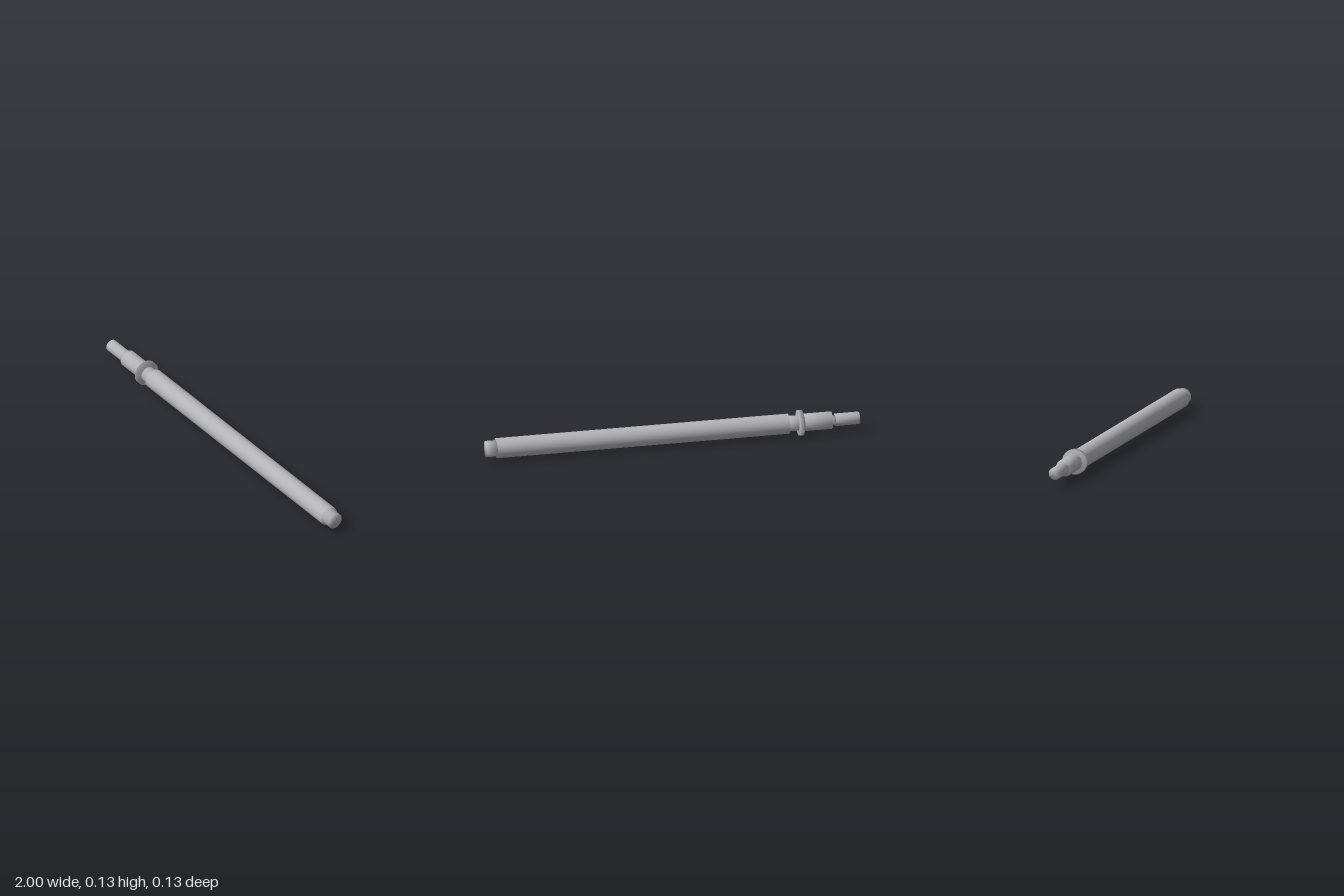
import * as THREE from 'three';

const AXIS_Y = 0.067;

export function createModel() {
  const group = new THREE.Group();
  group.name = 'steppedShaft';
  const steel = new THREE.MeshStandardMaterial({ color: 0xb4b4b8 });
  steel.name = 'steel grey';

  // Closed round section along x; the lathe softens normals across its rims
  function section(name, x0, x1, radius) {
    const profile = [[0, x0], [radius, x0], [radius, x1], [0, x1]]
      .map(([r, x]) => new THREE.Vector2(r, x));
    const geometry = new THREE.LatheGeometry(profile, 48);
    geometry.rotateZ(-Math.PI / 2);
    const mesh = new THREE.Mesh(geometry, steel);
    mesh.name = name;
    mesh.position.y = AXIS_Y;
    group.add(mesh);
  }

  // Narrow end, from tip to collar
  section('tip', -1, -0.872, 0.033);
  section('tipNeck', -0.872, -0.853, 0.024);
  section('journal', -0.853, -0.706, 0.046);
  section('collarNeck', -0.706, -0.622, 0.041);
  section('collar', -0.698, -0.674, 0.067);

  // Long body and its stepped far end
  section('body', -0.622, 0.943, 0.053);
  section('endStub', 0.943, 1, 0.043);

  return group;
}
